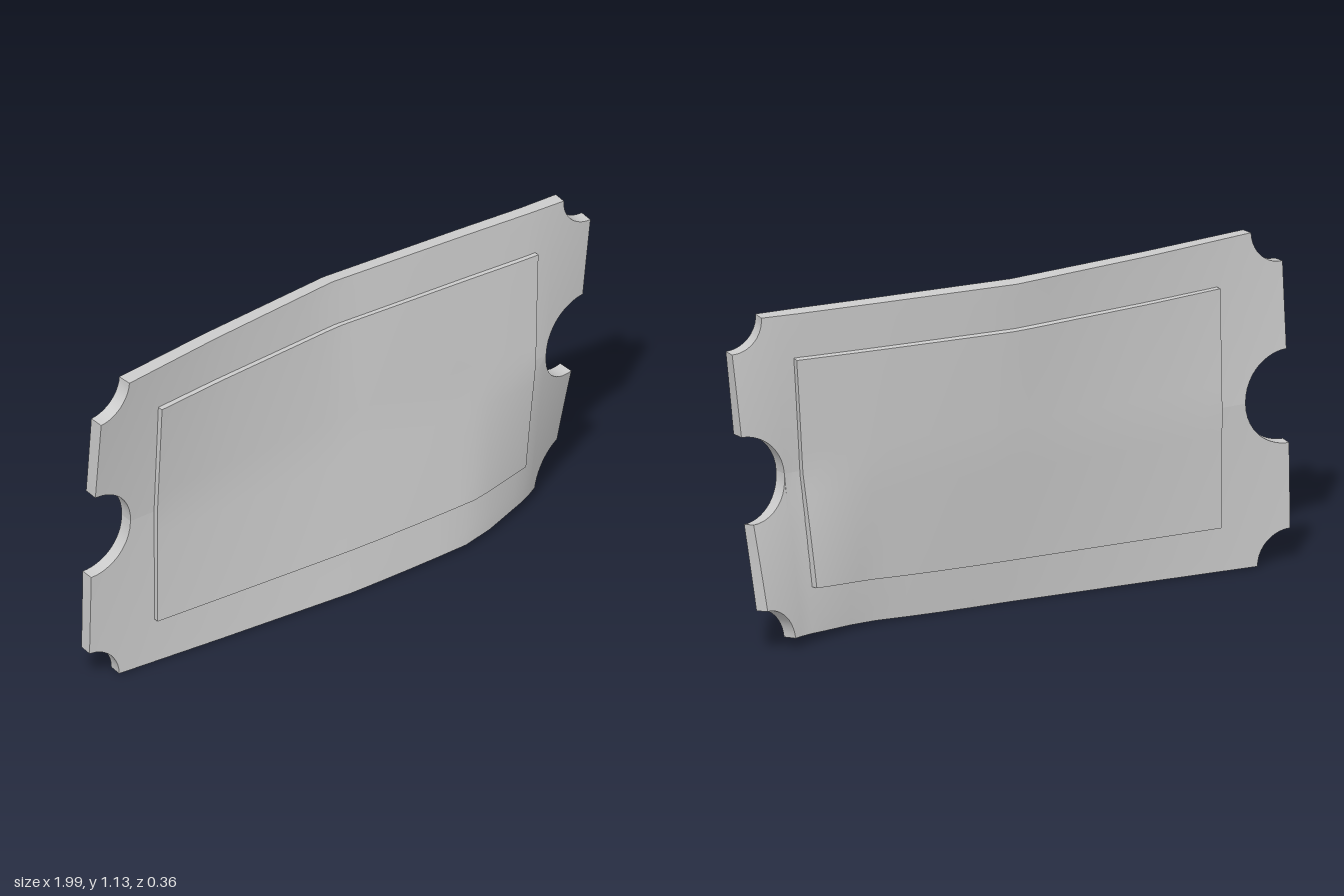
import * as THREE from 'three';
import { toCreasedNormals } from 'three/addons/utils/BufferGeometryUtils.js';

const H = 1.12, MID = 0.56, NOTCH = 0.155, CORNER = 0.115, THICK = 0.047;

// Warped sheet: depth of the front face on a coarse control grid
const gridX = [-1, -0.5, 0, 0.5, 0.75, 1];
const gridZ = [
  [0.125, 0.115, 0.1, 0.055, -0.06, -0.23],   // bottom edge
  [0.13, 0.078, 0.03, 0, -0.01, -0.08],       // middle
  [0.187, 0.075, -0.02, -0.035, -0.04, -0.05] // top edge
];
const lerp = THREE.MathUtils.lerp;

function depth(x, y) {
  let i = 0;
  while (i < gridX.length - 2 && x > gridX[i + 1]) i++;
  const s = (x - gridX[i]) / (gridX[i + 1] - gridX[i]);
  const rows = gridZ.map(r => lerp(r[i], r[i + 1], s));
  const t = (y / H) * 2;
  return t < 1 ? lerp(rows[0], rows[1], t) : lerp(rows[1], rows[2], t - 1);
}

// Flat sheet coordinates (u, v) to the warped sheet, offset d along its normal
function warp(u, v, d) {
  const low = 1 - v / H;
  const x = u * (u > 0 ? 1 - 0.09 * low : 1 - 0.02 * (1 - low));
  const y = v + (u > 0 ? 0.035 * u * u * low : 0);
  const e = 0.08;
  const n = new THREE.Vector3(
    (depth(x - e, y) - depth(x + e, y)) / (2 * e),
    (depth(x, y - e) - depth(x, y + e)) / (2 * e), 1).normalize();
  return new THREE.Vector3(x, y, depth(x, y)).addScaledVector(n, d);
}

// Solid slab between lower and upper edge curves, walled wherever it is not joined
function slab(us, lo, hi, front, back, joined = () => false) {
  const pos = [], rows = 10;
  const quad = (a, b, c, d) => [a, b, c, a, c, d].forEach(p => pos.push(p.x, p.y, p.z));
  const point = (i, j, d) => warp(us[i], lerp(lo(us[i]), hi(us[i]), j / rows), d);
  const last = us.length - 1;
  for (let i = 0; i < last; i++) {
    for (let j = 0; j < rows; j++) {
      quad(point(i, j, front), point(i + 1, j, front), point(i + 1, j + 1, front), point(i, j + 1, front));
      quad(point(i + 1, j, back), point(i, j, back), point(i, j + 1, back), point(i + 1, j + 1, back));
    }
    const joinedAt = edge => joined(edge(us[i])) && joined(edge(us[i + 1]));
    if (!joinedAt(lo)) quad(point(i, 0, back), point(i + 1, 0, back), point(i + 1, 0, front), point(i, 0, front));
    if (!joinedAt(hi)) quad(point(i, rows, front), point(i + 1, rows, front), point(i + 1, rows, back), point(i, rows, back));
  }
  for (let j = 0; j < rows; j++) {
    quad(point(0, j, back), point(0, j, front), point(0, j + 1, front), point(0, j + 1, back));
    quad(point(last, j, front), point(last, j, back), point(last, j + 1, back), point(last, j + 1, front));
  }
  const g = new THREE.BufferGeometry();
  g.setAttribute('position', new THREE.Float32BufferAttribute(pos, 3));
  return toCreasedNormals(g, 0.6);
}

export function createModel() {
  const group = new THREE.Group();
  group.name = 'ticket';
  const material = new THREE.MeshStandardMaterial({ color: 0xcccccc });
  const add = (name, geometry) => {
    const mesh = new THREE.Mesh(geometry, material);
    mesh.name = name;
    group.add(mesh);
  };

  // Columns packed around the end notches and corner cut-outs
  const half = [0.12, 0.25, 0.38, 0.5, 0.62, 0.75, 0.8, 1];
  for (let k = 0; k < 10; k++) {
    const c = Math.cos((k * Math.PI) / 20);
    half.push(1 - NOTCH * c, 1 - CORNER * c);
  }
  half.sort((a, b) => a - b);
  const us = [...half.map(u => -u).reverse(), 0, ...half];
  const bite = (u, r) => Math.sqrt(Math.max(0, r * r - (1 - Math.abs(u)) ** 2));

  // Ticket body in two halves that meet along the middle, between the notches
  const seam = v => Math.abs(v - MID) < 1e-6;
  add('lowerBody', slab(us, u => bite(u, CORNER), u => MID - bite(u, NOTCH), 0, -THICK, seam));
  add('upperBody', slab(us, u => MID + bite(u, NOTCH), u => H - bite(u, CORNER), 0, -THICK, seam));

  // Raised panel showing on both faces
  const panelUs = [];
  for (let i = 0; i <= 24; i++) panelUs.push(lerp(-0.75, 0.78, i / 24));
  add('raisedPanel', slab(panelUs, () => 0.158, () => 0.965, 0.018, -THICK - 0.022));

  return group;
}
